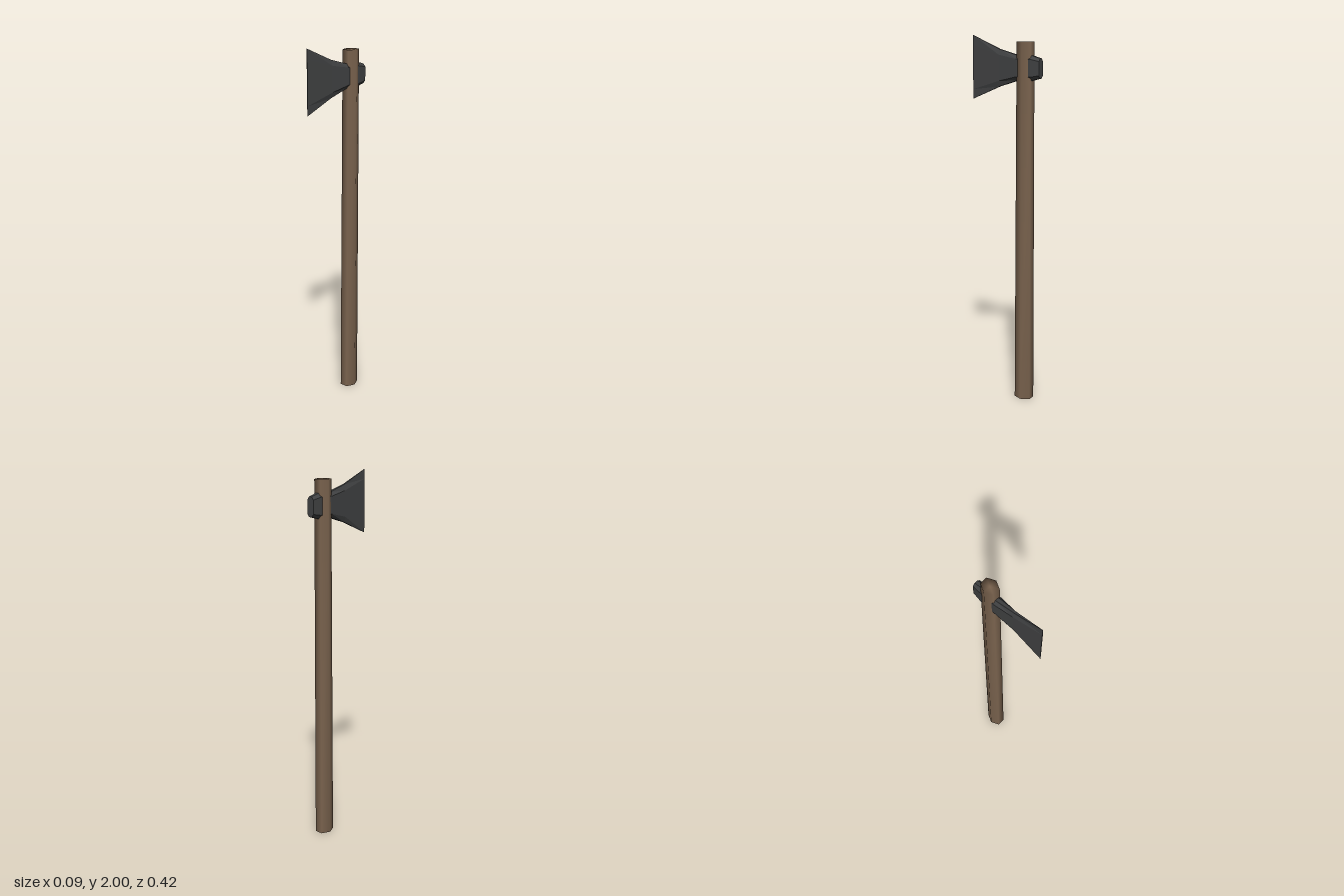
import * as THREE from 'three';
import { mergeVertices } from 'three/addons/utils/BufferGeometryUtils.js';

const wood = new THREE.MeshStandardMaterial({ color: 0x7a634e });
wood.name = 'brown wood';
const steel = new THREE.MeshStandardMaterial({ color: 0x414243 });
steel.name = 'dark steel';

// Six-sided tapered shaft with soft normals running over the ends
function handleGeometry() {
  let g = new THREE.CylinderGeometry(0.89, 1, 1.965, 6).rotateY(Math.PI / 6);
  g.scale(0.045, 1, 0.0548);
  g.translate(0, 1.965 / 2, -0.117);
  g.deleteAttribute('uv');
  g.deleteAttribute('normal');
  g = mergeVertices(g, 1e-4);
  g.computeVertexNormals();
  return g;
}

// Chamfered cross-sections joined from the poll to the cutting edge
function headGeometry() {
  // z, half width, bottom y, top y
  const sections = [
    [-0.21, 0.0215, 1.777, 1.88],
    [-0.16, 0.026, 1.765, 1.895],
    [-0.075, 0.025, 1.765, 1.895],
    [0.04, 0.0145, 1.73, 1.927],
    [0.21, 0.002, 1.66, 2.0],
  ];
  const outline = [[1, -0.7], [1, 0.7], [0.4, 1], [-0.4, 1], [-1, 0.7], [-1, -0.7], [-0.4, -1], [0.4, -1]];
  const n = outline.length;
  const points = [];
  const index = [];
  for (const [z, w, low, high] of sections) {
    for (const [u, v] of outline) points.push(u * w, (low + high) / 2 + v * (high - low) / 2, z);
  }
  for (let s = 0; s < sections.length - 1; s++) {
    for (let i = 0; i < n; i++) {
      const a = s * n + i;
      const b = s * n + (i + 1) % n;
      index.push(a, b, b + n, a, b + n, a + n);
    }
  }
  const last = (sections.length - 1) * n;
  for (let i = 1; i < n - 1; i++) {
    index.push(0, i + 1, i);
    index.push(last, last + i, last + i + 1);
  }
  const g = new THREE.BufferGeometry();
  g.setAttribute('position', new THREE.Float32BufferAttribute(points, 3));
  g.setIndex(index);
  const faceted = g.toNonIndexed();
  faceted.computeVertexNormals();
  return faceted;
}

export function createModel() {
  const group = new THREE.Group();
  group.name = 'axe';
  const handle = new THREE.Mesh(handleGeometry(), wood);
  handle.name = 'handle';
  const head = new THREE.Mesh(headGeometry(), steel);
  head.name = 'axeHead';
  group.add(handle, head);
  return group;
}
